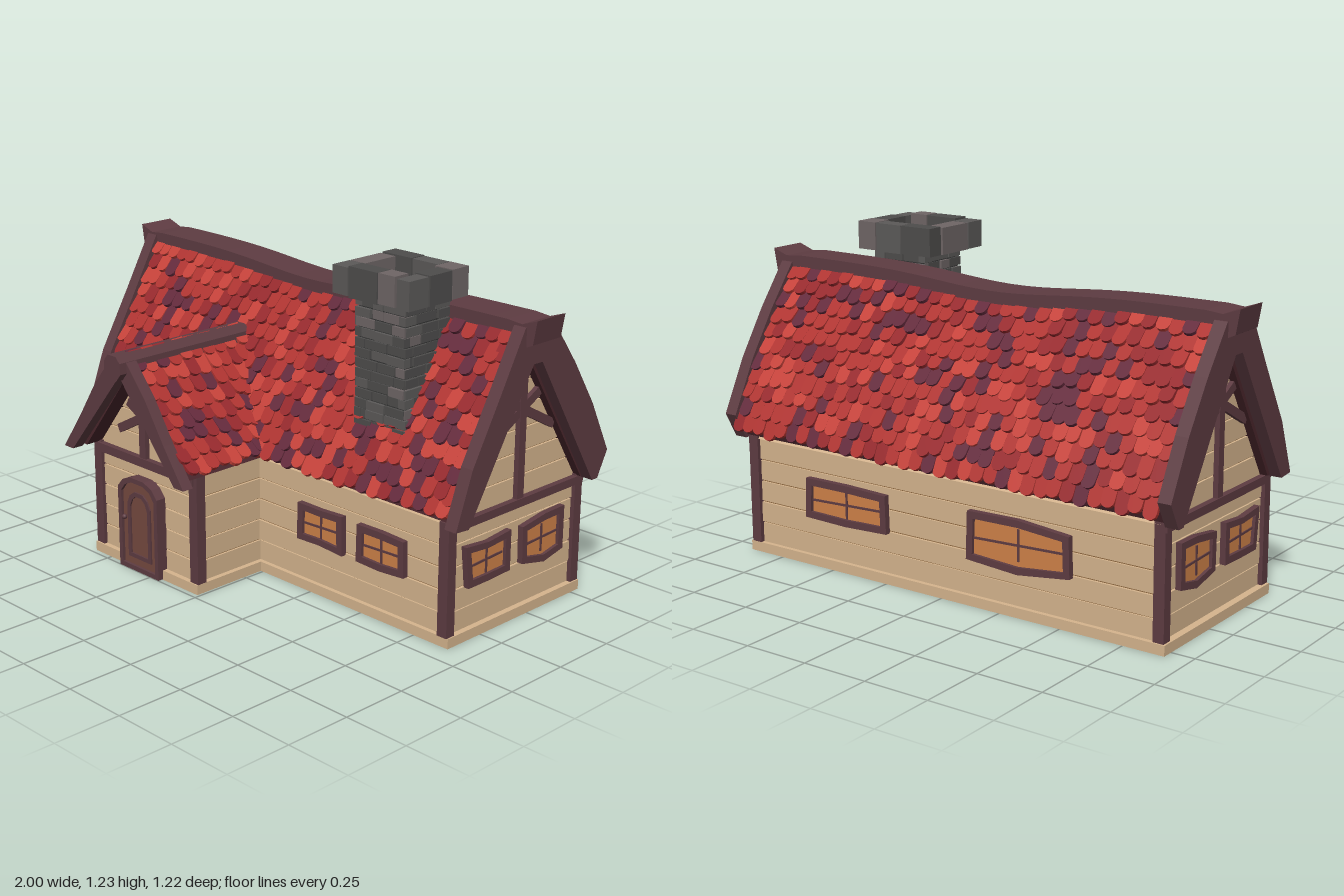
import * as THREE from 'three';
import { mergeGeometries } from 'three/addons/utils/BufferGeometryUtils.js';

const mat = (color) => new THREE.MeshStandardMaterial({ color, side: THREE.DoubleSide });
const WOOD = mat(0x5e3c42), WALL = mat(0xd6b58e), GROOVE = mat(0x8f6840), PANE = mat(0xcf8248);
const DOOR = mat(0x75493f), UNDER = mat(0x4a262c), MORTAR = mat(0x343434);
const TILES = [0xb03431, 0xc6423a, 0x97292d, 0x642a3c].map(mat);
const STONES = [0x4e4d4c, 0x5c5a59, 0x6f6666].map(mat);

let seed = 7;
const rnd = () => (seed = (seed * 16807) % 2147483647) / 2147483647;
const jit = (a) => (rnd() * 2 - 1) * a;
const V = (x, y, z) => new THREE.Vector3(x, y, z);
const RIDGE = -0.19, PX = -0.3; // main ridge z, porch centre x

// Sag of the old roof, strongest at the ridge
const sag = (x, y) => -0.035 * Math.exp(-(((x + 0.03) / 0.35) ** 2)) * THREE.MathUtils.clamp((y - 0.44) / 0.6, 0, 1);

function add(parent, name, geo, material) {
  const m = new THREE.Mesh(geo, material);
  m.name = name;
  parent.add(m);
  return m;
}
function boxGeo(x0, x1, y0, y1, z0, z1) {
  return new THREE.BoxGeometry(x1 - x0, y1 - y0, z1 - z0).translate((x0 + x1) / 2, (y0 + y1) / 2, (z0 + z1) / 2);
}
const box = (p, name, material, ...b) => add(p, name, boxGeo(...b), material);
const shapeOf = (pts) => new THREE.Shape(pts.map((p) => new THREE.Vector2(p[0], p[1])));
const extrude = (shape, depth, steps = 1) => new THREE.ExtrudeGeometry(shape, { depth, steps, bevelEnabled: false });
// Extrude a (z, y) outline along x from x0 to x1
const extrudeX = (pts, x0, x1, steps = 1) => extrude(shapeOf(pts), x1 - x0, steps).rotateY(-Math.PI / 2).translate(x1, 0, 0);

function sagGeo(geo) {
  const p = geo.attributes.position;
  for (let i = 0; i < p.count; i++) p.setY(i, p.getY(i) + sag(p.getX(i), p.getY(i)));
  geo.computeVertexNormals();
  return geo;
}

// Outline ring with a hole inset by t
function ringGeo(pts, t, depth) {
  const inner = inset(pts, t), s = shapeOf(pts);
  s.holes.push(new THREE.Path(inner.map((p) => new THREE.Vector2(p[0], p[1]))));
  return extrude(s, depth);
}
function inset(pts, t) {
  const c = [0, 1].map((k) => {
    const v = pts.map((p) => p[k]), a = Math.min(...v), b = Math.max(...v);
    return [(a + b) / 2, 1 - (2 * t) / (b - a)];
  });
  return pts.map((p) => p.map((v, k) => c[k][0] + (v - c[k][0]) * c[k][1]));
}

// Plank siding: stacked courses over a recessed core
function siding(p, name, x0, x1, z0, z1) {
  const core = 0.008, h = 0.081, geos = [];
  box(p, name + 'Core', GROOVE, x0 + core, x1 - core, 0.03, 0.45, z0 + core, z1 - core);
  for (let i = 0; i < 5; i++) {
    const j = jit(0.002), y = 0.037 + i * h;
    geos.push(boxGeo(x0 - j, x1 + j, y, y + h - 0.006, z0 - j, z1 + j));
  }
  add(p, name + 'Planks', mergeGeometries(geos), WALL);
}
// Triangular plank courses; place() turns an outline into a solid
function gableSiding(p, name, centre, half, top, place) {
  const rows = Math.round((top - 0.44) / 0.083), h = (top - 0.44) / rows, geos = [];
  const w = (y) => half * (top - y) / (top - 0.44) + 0.012;
  const trap = (a, b, k) => [[centre - w(a) + k, a], [centre + w(a) - k, a], [centre + w(b) - k, b], [centre - w(b) + k, b]];
  for (let i = 0; i < rows; i++) geos.push(place(trap(0.44 + i * h, 0.44 + (i + 1) * h - 0.006, 0), 0));
  add(p, name + 'Planks', mergeGeometries(geos), WALL);
  add(p, name + 'Core', place(trap(0.44, top, 0.004), 0.008), GROOVE);
}

// Gable timbers, drawn facing +z around x = 0
function gableTimber(half, top, crossY, s, sill) {
  const g = new THREE.Group();
  g.name = 'gableTimber';
  box(g, 'kingPost', WOOD, -0.017, 0.017, 0.42, top, 0, 0.02);
  box(g, 'tieBeam', WOOD, -half, half, sill, 0.445, 0, 0.024);
  for (const d of [1, -1]) {
    const a = V(d * 0.1 * s, crossY + 0.06 * s, 0), b = V(-d * 0.17 * s, crossY - 0.085 * s, 0);
    const m = add(g, 'brace', new THREE.BoxGeometry(a.distanceTo(b), 0.032, 0.018), WOOD);
    m.position.copy(a).add(b).multiplyScalar(0.5).setZ(0.009);
    m.rotation.z = Math.atan2(a.y - b.y, a.x - b.x);
  }
  return g;
}

function windowAt(parent, pts, cx, cy, pos, rotY) {
  const g = new THREE.Group();
  g.name = 'window';
  add(g, 'windowFrame', ringGeo(pts, 0.026, 0.022), WOOD);
  const inner = inset(pts, 0.02);
  add(g, 'windowPane', extrude(shapeOf(inner), 0.01), PANE);
  const xs = inner.map((p) => Math.abs(p[0])), ys = inner.map((p) => Math.abs(p[1]));
  const w = Math.min(...xs.filter((v) => v > 0.04)), h = Math.min(...ys);
  box(g, 'verticalBar', WOOD, -0.004, 0.004, -h, h, 0.008, 0.014);
  box(g, 'crossBar', WOOD, -w, w, -0.004, 0.004, 0.008, 0.014).rotation.z = 0.04;
  g.position.copy(pos).add(V(cx, 0, 0).applyAxisAngle(V(0, 1, 0), rotY)).setY(cy);
  g.rotation.y = rotY;
  parent.add(g);
}

// Round-ended tiles laid in rows down a path; range(point) gives limits along the eave
function tileSlope(parent, name, path, along, rows, range, bend) {
  const bins = TILES.map(() => []);
  const curve = new THREE.CurvePath();
  for (let i = 0; i < path.length - 1; i++) curve.add(new THREE.LineCurve3(path[i], path[i + 1]));
  const step = curve.getLength() / rows, w = 0.052, L = step * 1.55;
  const outline = [[-w / 2, 0], [-w / 2, -L + 0.022]];
  for (let i = 1; i < 6; i++) outline.push([-w / 2 * Math.cos(i * Math.PI / 6), -L + 0.022 - 0.022 * Math.sin(i * Math.PI / 6)]);
  outline.push([w / 2, -L + 0.022], [w / 2, 0]);
  const tile = extrude(shapeOf(outline), 0.013);
  for (let r = 0; r < rows; r++) {
    const end = curve.getPointAt((r + 1) / rows), start = curve.getPointAt(Math.max(0, (r + 0.3) / rows));
    const up = start.clone().sub(end).normalize(), n = along.clone().cross(up);
    const [a, b] = range(end), count = Math.max(1, Math.round((b - a) / w));
    for (let c = 0; c < count; c++) {
      const t = a + w / 2 + (c + (r % 2 ? 0.25 : -0.15)) * (b - a - w) / Math.max(1, count - 1);
      const pos = end.clone().addScaledVector(up, L + jit(0.009)).addScaledVector(n, -0.012);
      pos.addScaledVector(along, THREE.MathUtils.clamp(t, a + w / 2, b - w / 2));
      if (bend) pos.y += sag(pos.x, pos.y);
      const m = new THREE.Matrix4().makeBasis(along, up, n).setPosition(pos);
      m.multiply(new THREE.Matrix4().makeRotationX(-0.2 + jit(0.04))).multiply(new THREE.Matrix4().makeRotationZ(jit(0.05)));
      const k = rnd();
      bins[k < 0.42 ? 0 : k < 0.6 ? 1 : k < 0.8 ? 2 : 3].push(tile.clone().applyMatrix4(m));
    }
  }
  bins.forEach((g, i) => g.length && add(parent, name, mergeGeometries(g), TILES[i]));
}

function buildChimney(parent) {
  const g = new THREE.Group();
  g.name = 'chimney';
  const x0 = 0.395, x1 = 0.625, z0 = -0.12, z1 = 0.1, h = 0.036, bins = STONES.map(() => []);
  box(g, 'chimneyCore', MORTAR, x0 + 0.008, x1 - 0.008, 0.55, 1.14, z0 + 0.008, z1 - 0.008);
  for (let y = 0.58; y < 1.12; y += h) {
    for (let side = 0; side < 4; side++) {
      const onX = side % 2 === 0, lo = onX ? x0 : z0, hi = onX ? x1 : z1;
      for (let t = lo; t < hi - 0.01;) {
        let e = Math.min(hi, t + 0.045 + rnd() * 0.06);
        if (hi - e < 0.03) e = hi;
        const o = jit(0.005), f = [z1, x1, z0, x0][side] + (side < 2 ? o : -o), d = side < 2 ? f - 0.03 : f + 0.03;
        const lim = [Math.min(d, f), Math.max(d, f)], q = [t + 0.002, e - 0.002];
        const [xs, zs] = onX ? [q, lim] : [lim, q];
        bins[rnd() < 0.6 ? 0 : rnd() < 0.65 ? 1 : 2].push(boxGeo(...xs, y + 0.002, y + h - 0.003, ...zs));
        t = e;
      }
    }
  }
  bins.forEach((b, i) => add(g, 'chimneyBricks', mergeGeometries(b), STONES[i]));
  // Ring of cap stones: [x0, x1, z0, z1]
  const cap = [[0.325, 0.395, 0.06, 0.14], [0.4, 0.53, 0.075, 0.14], [0.535, 0.61, 0.075, 0.14], [0.615, 0.67, 0.04, 0.135],
    [0.605, 0.672, -0.075, 0.035], [0.59, 0.67, -0.16, -0.08], [0.47, 0.585, -0.16, -0.1], [0.33, 0.465, -0.165, -0.1], [0.325, 0.395, -0.095, 0.055]];
  cap.forEach((c, i) => box(g, 'capStone', STONES[[1, 0, 2][i % 3]], c[0], c[1], 1.12 + jit(0.003), 1.222 + jit(0.006), c[2], c[3]));
  parent.add(g);
}

export function createModel() {
  const house = new THREE.Group();
  house.name = 'cottage';

  // Footings and walls
  box(house, 'mainFooting', WALL, -0.91, 0.905, 0, 0.037, -0.543, 0.168);
  box(house, 'porchFooting', WALL, -0.59, -0.01, 0, 0.037, 0.1, 0.48);
  siding(house, 'mainWall', -0.885, 0.885, -0.528, 0.153);
  siding(house, 'porchWall', -0.57, -0.03, 0.1, 0.46);
  gableSiding(house, 'mainGable', RIDGE, 0.335, 0.95, (p, k) => extrudeX(p, -0.885 + k, 0.885 - k));
  gableSiding(house, 'porchGable', PX, 0.26, 0.78, (p, k) => extrude(shapeOf(p), 0.43 - k).translate(0, 0, 0.03));

  // Corner posts
  const posts = [[-0.88, -0.52], [0.88, -0.52], [-0.88, 0.147], [0.88, 0.147], [-0.567, 0.455], [-0.033, 0.455]];
  for (const [x, z] of posts) box(house, 'cornerPost', WOOD, x - 0.021, x + 0.021, 0.037, 0.45, z - 0.02, z + 0.02).rotation.y = jit(0.01);

  // Gable timbers
  for (const s of [1, -1]) {
    const t = gableTimber(0.345, 0.95, 0.76, 1, 0.415);
    t.position.set(s * 0.884, 0, RIDGE);
    t.rotation.y = s * Math.PI / 2;
    house.add(t);
  }
  const pt = gableTimber(0.275, 0.8, 0.595, 0.8, 0.412);
  pt.position.set(PX, 0, 0.459);
  house.add(pt);

  // Main roof deck, verge boards and ridge beam
  house.add(Object.assign(new THREE.Group(), { name: 'mainRoof' }));
  const roof = house.children.at(-1);
  const deck = [[0.12, 0.445], [0.165, 0.45], [0.1, 0.635], [-0.13, 1.03], [-0.25, 1.03], [-0.48, 0.705], [-0.57, 0.53], [-0.54, 0.45], [-0.51, 0.445], [RIDGE, 0.95]];
  add(roof, 'roofDeck', sagGeo(extrudeX(deck, -0.915, 0.915, 24)), UNDER);
  const verge = [[0.14, 0.44], [0.205, 0.445], [0.13, 0.645], [0.0, 0.87], [-0.115, 1.075], [-0.27, 1.06], [-0.39, 0.9], [-0.5, 0.73], [-0.6, 0.535], [-0.55, 0.44], [-0.52, 0.44], [-0.21, 0.94], [-0.165, 0.94]];
  for (const x of [0.908, -0.958]) add(roof, 'vergeBoard', extrudeX(verge, x, x + 0.05), WOOD);
  const beam = new THREE.BoxGeometry(2, 1, 0.146, 32, 1, 1).toNonIndexed(), bp = beam.attributes.position;
  for (let i = 0; i < bp.count; i++) {
    const x = bp.getX(i), top = bp.getY(i) > 0, e = Math.abs(x);
    const y = 1.088 + sag(x, 1.1) + (e > 0.99 ? 0.016 : e > 0.9 ? -0.006 : 0);
    bp.setXYZ(i, !top && e > 0.99 ? x * 0.985 : x, top ? y : y - (e > 0.9 ? 0.085 : 0.055), bp.getZ(i) - 0.193);
  }
  beam.computeVertexNormals();
  add(roof, 'ridgeBeam', beam, WOOD);

  // Main roof tiles
  const full = () => [-0.915, 0.915], back = () => [-0.915, 0.915];
  tileSlope(roof, 'frontTiles', [V(0, 1.045, -0.13), V(0, 0.64, 0.107), V(0, 0.455, 0.185)], V(1, 0, 0), 11, full, true);
  tileSlope(roof, 'backTiles', [V(0, 1.045, -0.255), V(0, 0.715, -0.487), V(0, 0.535, -0.577), V(0, 0.47, -0.595)], V(-1, 0, 0), 11, back, true);

  // Porch roof
  const porch = new THREE.Group();
  porch.name = 'porchRoof';
  house.add(porch);
  const mirror = (half) => [...half, ...half.slice().reverse().map(([x, y]) => [-x, y])].map(([x, y]) => [x + PX, y]);
  const chevron = (outer, inner) => shapeOf([...mirror(outer), ...mirror(inner).reverse()]);
  const porchDeck = chevron([[0.3, 0.45], [0.13, 0.655], [0.02, 0.81]], [[0.26, 0.445], [0.008, 0.77]]);
  add(porch, 'porchDeck', extrude(porchDeck, 0.53).translate(0, 0, 0.0), UNDER);
  const porchVerge = chevron([[0.335, 0.435], [0.235, 0.575], [0.14, 0.72], [0.035, 0.845]], [[0.285, 0.435], [0.01, 0.765]]);
  add(porch, 'porchVerge', extrude(porchVerge, 0.045).translate(0, 0, 0.53), WOOD);
  const end = [[-0.02, 0.77], [0.02, 0.77], [0.045, 0.8], [0.042, 0.84], [0.022, 0.862], [-0.022, 0.862], [-0.042, 0.84], [-0.045, 0.8]];
  add(porch, 'porchRidgeBeam', extrude(shapeOf(end), 0.615).translate(PX, -0.002, -0.01), WOOD);
  const mainZ = (y) => (y > 0.645 ? 0.125 - (y - 0.645) * 0.576 : 0.2 - (y - 0.45) * 0.385);
  for (const s of [1, -1]) {
    const path = [[0.02, 0.83], [0.14, 0.665], [0.315, 0.46]].map(([x, y]) => V(PX + s * x, y, 0));
    const range = (p) => (s > 0 ? [-0.54, -mainZ(p.y) + 0.05] : [mainZ(p.y) - 0.05, 0.54]);
    tileSlope(porch, 'porchTiles', path, V(0, 0, -s), 8, range, false);
  }

  buildChimney(house);

  // Door
  const door = new THREE.Group();
  door.name = 'door';
  const arch = (w, y0, h) => [[-w, y0], [w, y0], [w, h - 0.05], [w * 0.75, h - 0.018], [w * 0.35, h], [-w * 0.35, h], [-w * 0.75, h - 0.018], [-w, h - 0.05]];
  add(door, 'doorFrame', ringGeo(arch(0.11, 0.002, 0.365), 0.018, 0.045), WOOD);
  add(door, 'doorPanel', extrude(shapeOf(arch(0.1, 0.004, 0.355)), 0.034), DOOR);
  add(door, 'doorMoulding', ringGeo(arch(0.064, 0.05, 0.31), 0.016, 0.04), WOOD);
  add(door, 'doorKnob', new THREE.SphereGeometry(0.01, 10, 8).translate(-0.08, 0.2, 0.042), WOOD);
  door.position.set(-0.31, 0, 0.457);
  house.add(door);

  // Windows: crooked outlines, centred on their own origin
  const crooked = (w, h, k) => [[-w, -h], [0, -h - k], [w, -h + k], [w * 0.98, h - k], [0, h + k * 0.3], [-w * 0.97, h]];
  const front = V(0, 0, 0.153), rear = V(0, 0, -0.528);
  [[-0.74, 1], [0.3, -1], [0.592, 1]].forEach(([x, k]) => windowAt(house, crooked(0.112, 0.07, 0.004 * k), x, 0.262, front, 0));
  windowAt(house, crooked(0.19, 0.075, 0.004), -0.43, 0.26, rear, Math.PI);
  windowAt(house, crooked(0.215, 0.088, 0.014), 0.33, 0.26, rear, Math.PI);
  const gableA = [[-0.1, -0.077], [0, -0.077], [0.117, -0.073], [0.117, 0.077], [0, 0.066], [-0.117, 0.077]];
  const gableB = [[-0.112, -0.066], [0.01, -0.092], [0.113, -0.07], [0.113, 0.092], [0.01, 0.09], [-0.115, 0.072]];
  for (const s of [1, -1]) {
    const flip = (pts) => (s > 0 ? pts : pts.map(([x, y]) => [-x, y]).reverse());
    windowAt(house, flip(gableA), s * 0.03, 0.267, V(s * 0.884, 0, 0), s * Math.PI / 2);
    windowAt(house, flip(gableB), s * 0.325, 0.262, V(s * 0.884, 0, 0), s * Math.PI / 2);
  }
  return house;
}
